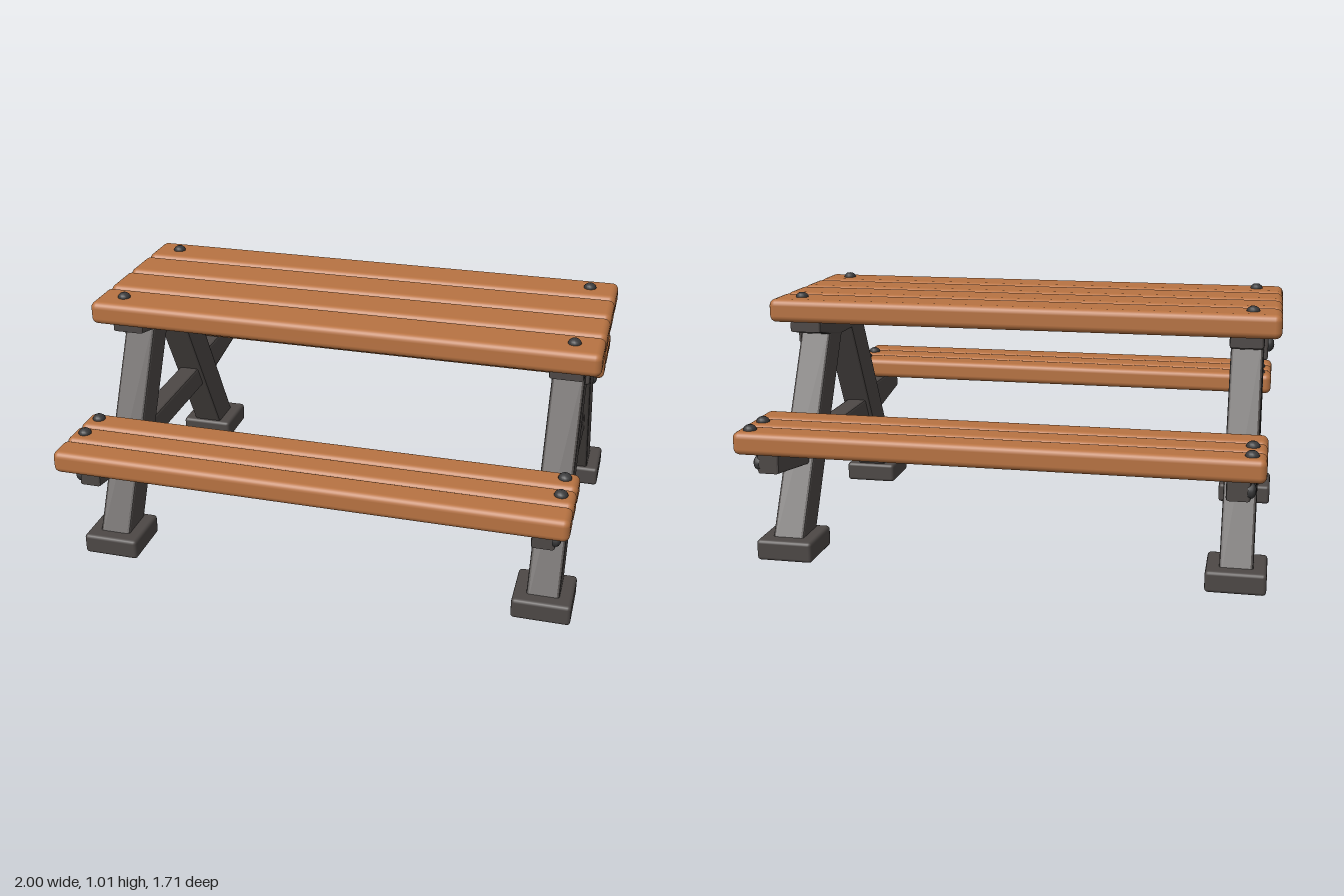
import * as THREE from 'three';
import { RoundedBoxGeometry } from 'three/addons/geometries/RoundedBoxGeometry.js';

const material = (name, color) => {
  const m = new THREE.MeshStandardMaterial({ color });
  m.name = name;
  return m;
};

export function createModel() {
  const wood = material('warm wood', 0xb87342);
  const metal = material('dark grey frame', 0x4d4846);
  const boltGrey = material('bolt grey', 0x3a3a3b);
  const model = new THREE.Group();
  model.name = 'picnicTable';

  const add = (parent, name, geometry, mat, x, y, z) => {
    const mesh = new THREE.Mesh(geometry, mat);
    mesh.name = name;
    mesh.position.set(x, y, z);
    parent.add(mesh);
    return mesh;
  };

  // Bevelled slab across x, outlined by [z, y] points
  const slab = (points, width, bevel = 0.01) => {
    const shape = new THREE.Shape(points.map(([z, y]) => new THREE.Vector2(z, y)));
    const geometry = new THREE.ExtrudeGeometry(shape, {
      depth: width - 2 * bevel, bevelThickness: bevel, bevelSize: bevel,
      bevelOffset: -bevel, bevelSegments: 2,
    });
    geometry.translate(0, 0, bevel - width / 2);
    return geometry.rotateY(-Math.PI / 2);
  };
  const mirrored = (half) => [...half, ...half.map(([z, y]) => [-z, y]).reverse()];

  // Domed bolt head, rising along +y
  const boltHead = (r, h) => new THREE.LatheGeometry(
    [[r, -0.01], [r, h * 0.25], [r * 0.85, h * 0.6], [r * 0.5, h * 0.9], [0, h]]
      .map(([x, y]) => new THREE.Vector2(x, y)), 16);
  const topBolt = boltHead(0.025, 0.022);

  // Table top
  const topBoard = new RoundedBoxGeometry(2, 0.092, 0.183, 3, 0.026);
  for (const z of [-0.291, -0.097, 0.097, 0.291]) add(model, 'topBoard', topBoard, wood, 0, 0.945, z);
  for (const x of [-0.89, 0.89])
    for (const z of [-0.29, 0.29]) add(model, 'topBolt', topBolt, boltGrey, x, 0.989, z);

  // Benches
  const seatBoard = new RoundedBoxGeometry(1.936, 0.087, 0.117, 3, 0.024);
  for (const side of [-1, 1])
    for (const z of [0.56, 0.68, 0.798]) add(model, 'seatBoard', seatBoard, wood, 0, 0.531, side * z);
  for (const x of [-0.915, 0.915])
    for (const z of [-0.802, -0.68, 0.553, 0.677]) add(model, 'seatBolt', topBolt, boltGrey, x, 0.573, z);

  // End frames
  const foot = new RoundedBoxGeometry(0.225, 0.083, 0.225, 2, 0.014);
  const legPoints = [[0.61, 0.06], [0.455, 0.06], [0.045, 0.845], [0.2, 0.845]];
  const leg = slab(legPoints, 0.125);
  const backLeg = slab(legPoints.map(([z, y]) => [-z, y]).reverse(), 0.125);
  const topBeam = slab(mirrored([[0.32, 0.893], [0.32, 0.853], [0.2, 0.825], [0.1, 0.805]]), 0.13);
  const seatBeam = slab(mirrored([[0.29, 0.437], [0.35, 0.483], [0.758, 0.483],
    [0.758, 0.393], [0.46, 0.345], [0.38, 0.335]]), 0.087);
  const plate = new RoundedBoxGeometry(0.025, 0.108, 0.395, 2, 0.01);
  const plateBolt = boltHead(0.03, 0.024);
  const beamBolt = boltHead(0.029, 0.02);

  for (const side of [-1, 1]) {
    const frame = new THREE.Group();
    frame.name = side > 0 ? 'leftFrame' : 'rightFrame';
    frame.position.x = side * 0.872;
    model.add(frame);
    for (const s of [-1, 1]) add(frame, 'foot', foot, metal, 0, 0.0415, s * 0.539);
    add(frame, 'frontLeg', leg, metal, 0, 0, 0);
    add(frame, 'backLeg', backLeg, metal, 0, 0, 0);
    add(frame, 'topBeam', topBeam, metal, 0, 0, 0);
    add(frame, 'seatBeam', seatBeam, metal, 0, 0, 0);
    add(frame, 'joinPlate', plate, metal, side * 0.066, 0.838, 0);
    // Bolts facing outward
    for (const s of [-1, 1]) {
      const bolts = [add(frame, 'plateBolt', plateBolt, boltGrey, side * 0.077, 0.832, s * 0.107)];
      for (const z of [0.645, 0.735])
        bolts.push(add(frame, 'beamBolt', beamBolt, boltGrey, side * 0.042, 0.43, s * z));
      for (const bolt of bolts) bolt.rotation.z = -side * Math.PI / 2;
    }
  }
  return model;
}
